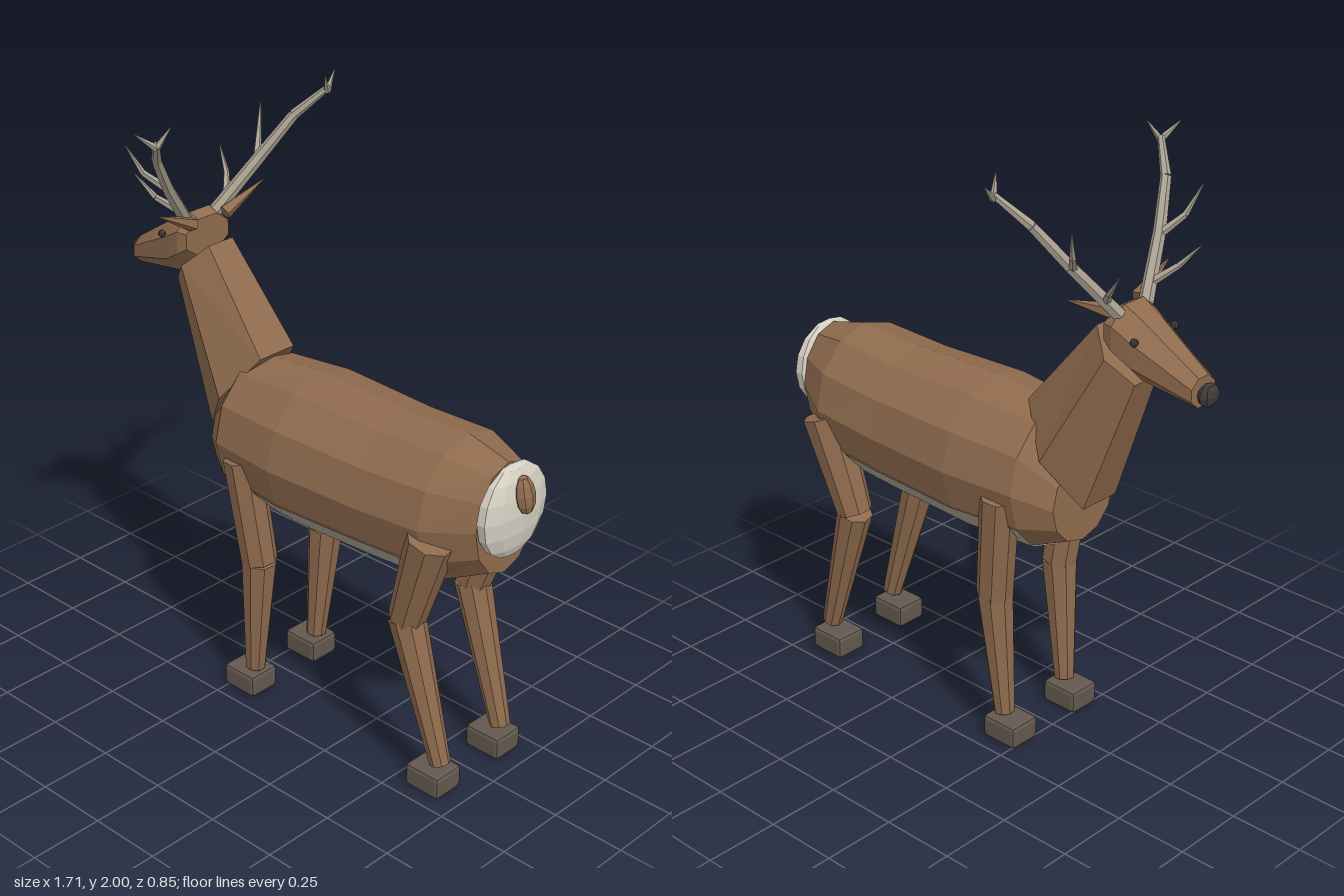
import * as THREE from 'three';
import { RoundedBoxGeometry } from 'three/addons/geometries/RoundedBoxGeometry.js';

const mat = (color, side = THREE.FrontSide) =>
  new THREE.MeshStandardMaterial({ color, flatShading: true, roughness: 0.9, side });
const V = (p) => new THREE.Vector3(...p);

// Skin over cross-sections [cx, cy, ux, uy, halfWidth]; (ux, uy) is the half-height vector
function loft(sections, sides, a0 = 0, a1 = Math.PI * 2, caps = true) {
  const pos = [], idx = [], n = sides + 1;
  for (const [cx, cy, ux, uy, w] of sections) {
    for (let i = 0; i < n; i++) {
      const a = a0 + ((a1 - a0) * i) / sides, c = Math.cos(a), s = Math.sin(a);
      pos.push(cx + c * ux, cy + c * uy, s * w);
    }
  }
  for (let j = 0; j < sections.length - 1; j++) {
    for (let i = 0; i < sides; i++) {
      const a = j * n + i, b = a + n;
      idx.push(a, a + 1, b, a + 1, b + 1, b);
    }
  }
  if (caps) {
    const last = (sections.length - 1) * n;
    for (let i = 1; i < sides - 1; i++) {
      idx.push(0, i + 1, i);
      idx.push(last, last + i, last + i + 1);
    }
  }
  const g = new THREE.BufferGeometry();
  g.setAttribute('position', new THREE.Float32BufferAttribute(pos, 3));
  g.setIndex(idx);
  g.computeVertexNormals();
  return g;
}

// Upright section given by x, bottom, top and half-width
const upright = ([x, lo, hi, w]) => [x, (lo + hi) / 2, 0, (hi - lo) / 2, w];

export function createModel() {
  const model = new THREE.Group();
  model.name = 'stag';
  const fur = mat(0x8f6b4e), pale = mat(0xd6d0c3), horn = mat(0xaaa292);
  const hoofMat = mat(0x62584e), dark = mat(0x3d3b39);
  const belly = mat(0xa8a294, THREE.DoubleSide);

  const add = (name, geometry, material, parent = model) => {
    const m = new THREE.Mesh(geometry, material);
    m.name = name;
    parent.add(m);
    return m;
  };
  // Tapered limb from point a to point b
  const limb = (name, a, b, ra, rb, sides, material, parent) => {
    const d = V(b).sub(V(a));
    const m = add(name, new THREE.CylinderGeometry(rb, ra, d.length(), sides), material, parent);
    m.position.copy(V(a)).addScaledVector(d, 0.5);
    m.quaternion.setFromUnitVectors(new THREE.Vector3(0, 1, 0), d.normalize());
    return m;
  };
  const ball = (name, p, r, material, parent, w = 8, h = 6) => {
    const m = add(name, new THREE.SphereGeometry(1, w, h), material, parent);
    m.position.set(...p);
    m.scale.set(...r);
    return m;
  };

  // Trunk and underside panel
  const trunk = [
    [-0.365, 0.735, 1.03, 0.14], [-0.26, 0.685, 1.17, 0.22], [0, 0.675, 1.19, 0.25],
    [0.35, 0.685, 1.18, 0.235], [0.6, 0.7, 1.19, 0.225], [0.755, 0.775, 1.15, 0.14],
  ].map(upright);
  add('body', loft(trunk, 12), fur);
  const under = [
    [-0.26, 0.68, 1.18, 0.223], [0, 0.668, 1.2, 0.254],
    [0.35, 0.678, 1.19, 0.239], [0.5, 0.687, 1.19, 0.233],
  ].map(upright);
  add('belly', loft(under, 4, Math.PI * 2 / 3, Math.PI * 4 / 3, false), belly);

  // Neck, hexagonal with a flat back
  const k = 1 / Math.cos(Math.PI / 6), phase = Math.PI / 6;
  add('neck', loft([
    [-0.525, 1.425, 0.075 * k, 0.075 * k, 0.105],
    [-0.315, 1.04, 0.115 * k, 0.15 * k, 0.15],
  ], 6, phase, phase + Math.PI * 2), fur);

  // Head
  add('head', loft([
    [-0.81, 1.33, 1.43, 0.058], [-0.61, 1.36, 1.56, 0.1],
    [-0.545, 1.4, 1.595, 0.11], [-0.51, 1.44, 1.575, 0.1],
  ].map(upright), 8, Math.PI / 8, Math.PI * 2.125), fur);
  ball('nose', [-0.83, 1.375, 0], [0.026, 0.036, 0.042], dark);

  // Rump patch and tail
  ball('rumpPatch', [0.775, 1, 0], [0.048, 0.155, 0.152], pale, model, 10, 8);
  ball('tail', [0.82, 1.065, 0], [0.03, 0.062, 0.037], fur).rotation.z = 0.2;

  // Antler tines: start, end, start radius, end radius
  const tines = [
    [[-0.525, 1.61, 0.1], [-0.58, 1.66, 0.155], 0.014, 0.01],
    [[-0.58, 1.66, 0.155], [-0.64, 1.73, 0.185], 0.01, 0.002],
    [[-0.475, 1.72, 0.19], [-0.525, 1.78, 0.25], 0.014, 0.01],
    [[-0.525, 1.78, 0.25], [-0.555, 1.87, 0.29], 0.01, 0.002],
    [[-0.33, 1.94, 0.365], [-0.355, 1.99, 0.425], 0.012, 0.002],
    [[-0.33, 1.94, 0.365], [-0.305, 2, 0.33], 0.012, 0.002],
  ];
  const beam = [[-0.54, 1.56, 0.06], [-0.47, 1.73, 0.2], [-0.41, 1.86, 0.295], [-0.33, 1.95, 0.365]];
  const beamR = [0.023, 0.02, 0.017, 0.011];

  // Leg joints: hip, knee, ankle, hoof centre, radii
  const legs = {
    front: { hip: [-0.18, 0.89, 0.18], knee: [-0.135, 0.52, 0.155], ankle: [-0.17, 0.09, 0.146], hoof: -0.195, r: 0.064 },
    back: { hip: [0.615, 0.91, 0.172], knee: [0.508, 0.58, 0.155], ankle: [0.65, 0.1, 0.146], hoof: 0.622, r: 0.08 },
  };

  for (const s of [1, -1]) {
    // The head points along -x, so +z is the animal's own left
    const side = s > 0 ? 'left' : 'right';
    const at = ([x, y, z]) => [x, y, z * s];
    ball(side + 'Eye', at([-0.625, 1.505, 0.092]), [0.013, 0.013, 0.013], dark);

    // Ear: flattened four-sided cone
    const ear = limb(side + 'Ear', at([-0.505, 1.565, 0.07]), at([-0.485, 1.64, 0.23]), 0.035, 0.002, 5, fur);
    ear.scale.set(0.8, 1, 0.7);

    const antler = new THREE.Group();
    antler.name = side + 'Antler';
    model.add(antler);
    for (let i = 0; i < 3; i++) {
      limb('antlerBeam', at(beam[i]), at(beam[i + 1]), beamR[i], beamR[i + 1], 6, horn, antler);
    }
    for (const [a, b, ra, rb] of tines) limb('antlerTine', at(a), at(b), ra, rb, 5, horn, antler);

    for (const [end, { hip, knee, ankle, hoof, r }] of Object.entries(legs)) {
      const leg = new THREE.Group();
      leg.name = `${end}${side === 'left' ? 'Left' : 'Right'}Leg`;
      model.add(leg);
      limb('upperLeg', at(hip), at(knee), r, 0.06, 8, fur, leg);
      limb('lowerLeg', at(knee), at(ankle), 0.06, 0.034, 8, fur, leg);
      add('hoof', new RoundedBoxGeometry(0.136, 0.08, 0.116, 1, 0.014), hoofMat, leg)
        .position.set(hoof, 0.042, 0.146 * s);
    }
  }
  return model;
}
